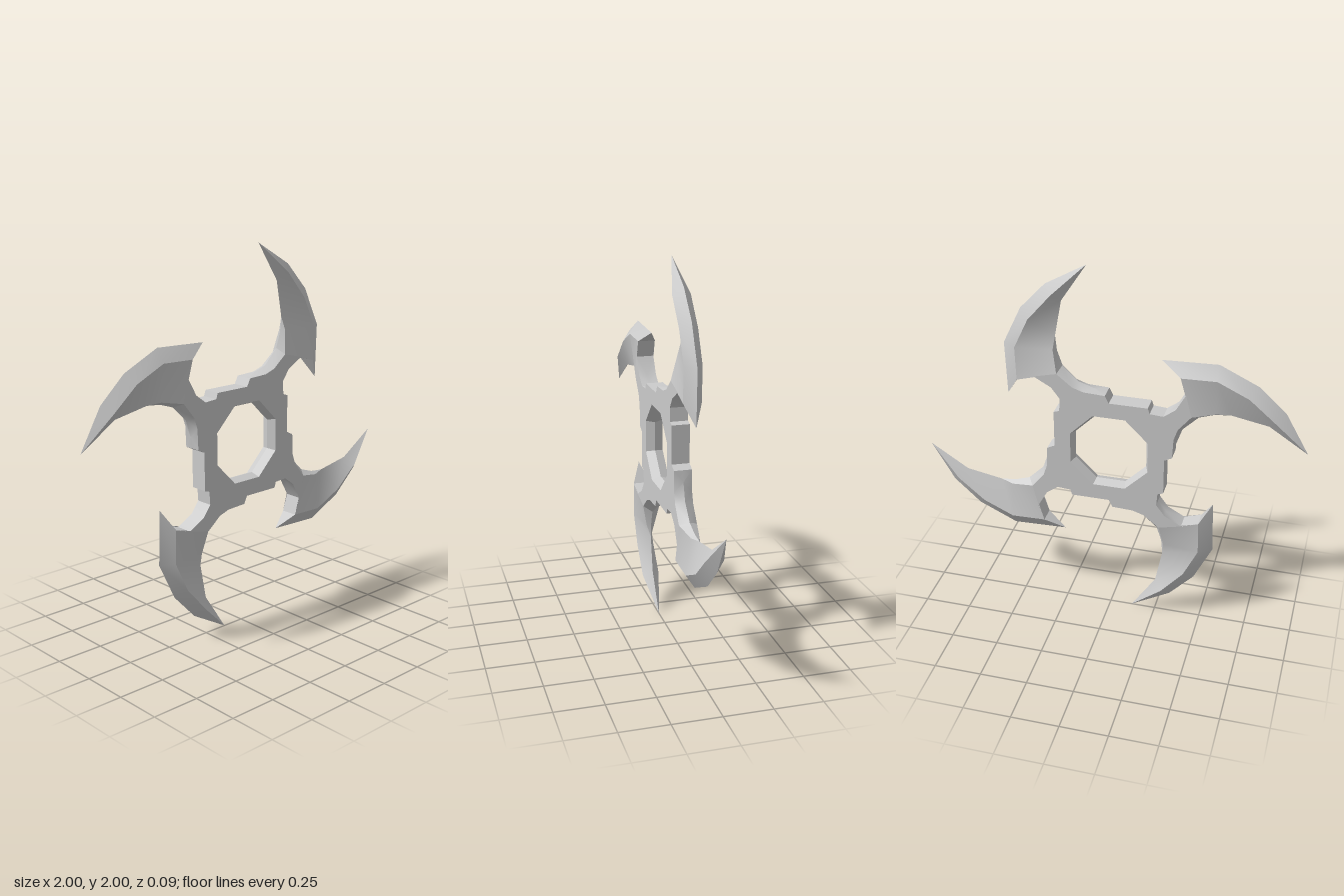
import * as THREE from 'three';
import { toCreasedNormals } from 'three/addons/utils/BufferGeometryUtils.js';

const T = 0.046; // half thickness

// One quarter of the rim, clockwise: face x, y, z, then mid-plane x, y where they differ
const RIM = [
  [0, 0.29, T], [0.02, 0.33, T],
  [0.13, 0.335, T, 0.08, 0.34], [0.19, 0.355, T, 0.17, 0.37], [0.27, 0.42, T, 0.25, 0.45],
  [0.293, 0.54, 0.022, 0.277, 0.53], [0.285, 0.61, 0], [0.25, 0.8, 0],      // cutting edge
  [0.12, 1, 0],                                                              // tip
  [0.29, 0.84, T, 0.33, 0.88], [0.41, 0.7, T, 0.46, 0.74],                   // bevelled back
  [0.485, 0.54, T, 0.555, 0.54], [0.48, 0.36, T, 0.545, 0.255],              // barb
  [0.48, 0.36, T], [0.39, 0.39, T], [0.3, 0.34, T],
  [0.255, 0.28, T], [0.26, 0.21, T], [0.29, 0.2, T],
].map(([x, y, z, mx = x, my = y]) => ({
  face: new THREE.Vector3(x, y, z), mid: new THREE.Vector3(mx, my, 0),
}));

// Collects triangles, each mirrored to the back
function surface() {
  const data = [];
  const tri = (a, b, c) => {
    const n = b.clone().sub(a).cross(c.clone().sub(a));
    if (n.length() < 1e-8) return;
    for (const p of [a, b, c]) data.push(p.x, p.y, p.z);
    for (const p of [a, c, b]) data.push(p.x, p.y, -p.z);
  };
  return {
    // Convex face listed clockwise
    face(pts) {
      for (let i = 1; i < pts.length - 1; i++) tri(pts[0], pts[i + 1], pts[i]);
    },
    tri,
    // Side wall from the face edge to the mid-plane
    wall(a, b) {
      tri(a.face, b.face, b.mid);
      tri(a.face, b.mid, a.mid);
    },
    geometry() {
      const g = new THREE.BufferGeometry();
      g.setAttribute('position', new THREE.Float32BufferAttribute(data, 3));
      return toCreasedNormals(g, 0.5);
    },
  };
}

function bladeGeometry() {
  const s = surface();
  const faces = [[8, 9, 7], [7, 9, 10, 6], [6, 10, 11, 5], [5, 11, 12, 4], [4, 12, 14]];
  for (const f of faces) s.face(f.map((i) => RIM[i].face));
  for (let i = 4; i < 14; i++) s.wall(RIM[i], RIM[i + 1]);
  return s.geometry();
}

function hubGeometry() {
  const s = surface();
  const axis = new THREE.Vector3(0, 0, 1);
  const turn = (p, a) => ({
    face: p.face.clone().applyAxisAngle(axis, a), mid: p.mid.clone().applyAxisAngle(axis, a),
  });
  // Hub outline: four turned quarters with the blades left out
  const quarter = RIM.filter((_, i) => i <= 4 || i >= 14);
  const outline = [];
  for (let k = 0; k < 4; k++) for (const p of quarter) outline.push(turn(p, -k * Math.PI / 2));
  outline.forEach((p, i) => {
    if (i % quarter.length !== 4) s.wall(p, outline[(i + 1) % outline.length]);
  });
  // Octagonal hole, narrowest at mid-thickness
  const hole = [];
  for (let k = 0; k < 8; k++) {
    const a = Math.PI / 8 + k * Math.PI / 4;
    const at = (r, z) => new THREE.Vector3(r * Math.cos(a), r * Math.sin(a), z);
    hole.push({ face: at(0.222, T), mid: at(0.203, 0) });
  }
  hole.forEach((p, i) => s.wall(p, hole[(i + 1) % 8]));
  // Flat faces
  const outer = outline.map((p) => p.face).reverse();
  const inner = hole.map((p) => p.face).reverse();
  const all = [...outer, ...inner];
  const flat = (list) => list.map((p) => new THREE.Vector2(p.x, p.y));
  for (const [a, b, c] of THREE.ShapeUtils.triangulateShape(flat(outer), [flat(inner)])) {
    const [p, q, r] = [all[a], all[b], all[c]];
    const up = (q.x - p.x) * (r.y - p.y) - (q.y - p.y) * (r.x - p.x) > 0;
    if (up) s.tri(p, q, r); else s.tri(p, r, q);
  }
  return s.geometry();
}

export function createModel() {
  const group = new THREE.Group();
  group.name = 'throwingStar';
  const metal = new THREE.MeshStandardMaterial({ color: 0xcccccc });

  const hub = new THREE.Mesh(hubGeometry(), metal);
  hub.name = 'hub';
  hub.position.y = 1;
  group.add(hub);

  // Four curved blades
  const blade = bladeGeometry();
  for (let k = 0; k < 4; k++) {
    const mesh = new THREE.Mesh(blade, metal);
    mesh.name = 'blade' + (k + 1);
    mesh.position.y = 1;
    mesh.rotation.z = -k * Math.PI / 2;
    group.add(mesh);
  }
  return group;
}
